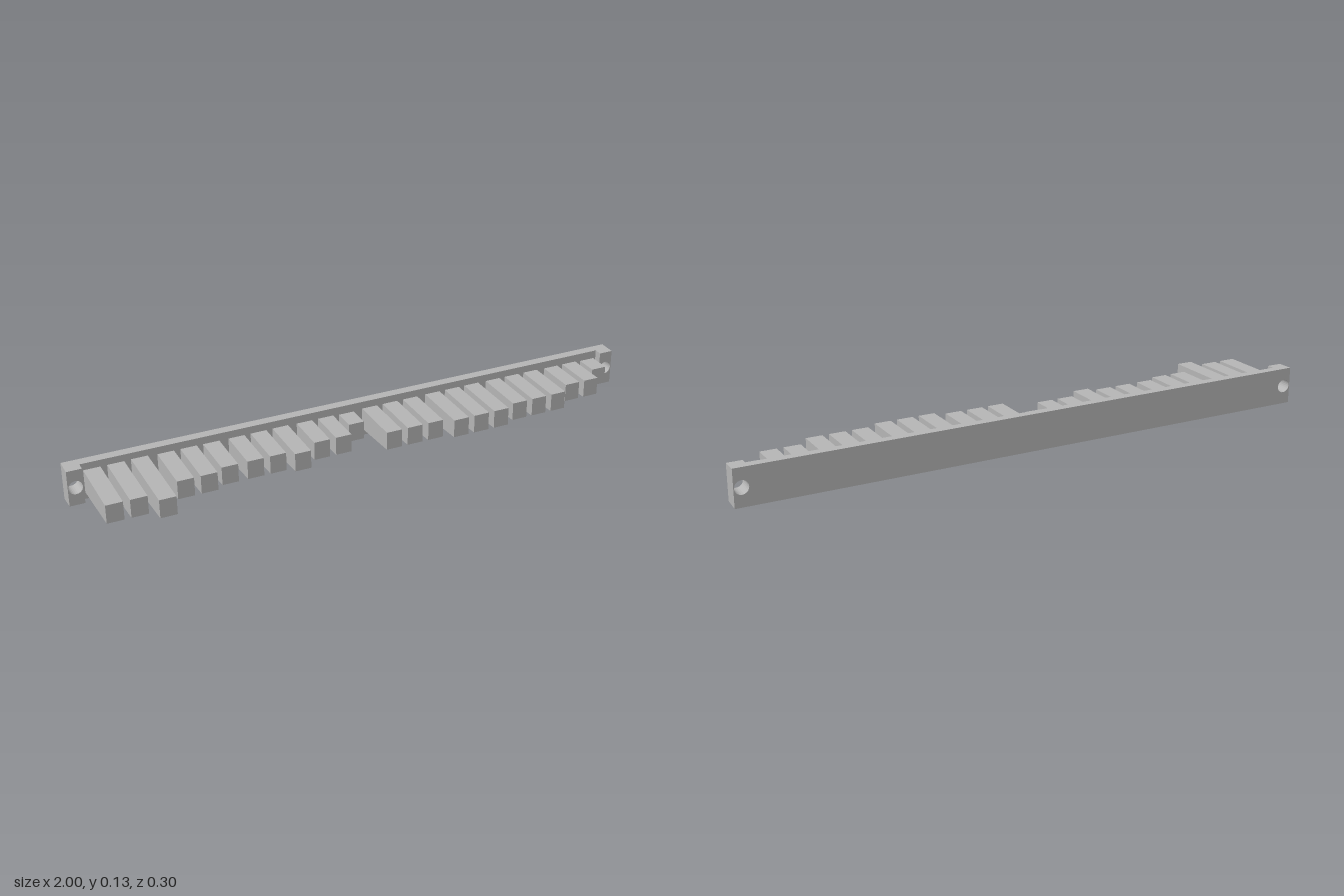
import * as THREE from 'three';

const BACK = -0.149, RAIL_FRONT = -0.117, CAP_FRONT = -0.09;
const MID_Y = 0.0635, DRAFT = 0.035, RAIL_DRAFT = 0.05;
const HALF_RAIL = 0.0635, CAP_W = 0.05;

// Box along z whose height shrinks towards the front
function taperedBox(width, zBack, zFront, halfBack, halfFront) {
  const g = new THREE.BoxGeometry(width, 2, zFront - zBack);
  g.translate(0, 0, (zBack + zFront) / 2);
  const p = g.attributes.position;
  const mid = (zBack + zFront) / 2;
  for (let i = 0; i < p.count; i++) {
    p.setY(i, MID_Y + p.getY(i) * (p.getZ(i) > mid ? halfFront : halfBack));
  }
  g.computeVertexNormals();
  return g;
}

// Mounting block with a round through hole, tapered like the rail
function capGeometry() {
  const w = CAP_W / 2, h = HALF_RAIL;
  const shape = new THREE.Shape();
  shape.moveTo(-w, -h).lineTo(w, -h).lineTo(w, h).lineTo(-w, h).closePath();
  const hole = new THREE.Path();
  hole.absarc(0, 0, 0.023, 0, Math.PI * 2, true);
  shape.holes.push(hole);
  const depth = CAP_FRONT - BACK;
  const g = new THREE.ExtrudeGeometry(shape, { depth, bevelEnabled: false, curveSegments: 12 });
  const p = g.attributes.position;
  for (let i = 0; i < p.count; i++) {
    const y = p.getY(i);
    if (Math.abs(y) > h - 0.001) p.setY(i, y - Math.sign(y) * p.getZ(i) * RAIL_DRAFT);
  }
  g.computeVertexNormals();
  g.translate(0, MID_Y, BACK);
  return g;
}

export function createModel() {
  const group = new THREE.Group();
  const grey = new THREE.MeshStandardMaterial({ color: 0xb4b4b4 });
  grey.name = 'plain grey';

  const add = (name, geometry, x = 0) => {
    const mesh = new THREE.Mesh(geometry, grey);
    mesh.name = name;
    mesh.position.x = x;
    group.add(mesh);
  };

  // Long back rail
  add('rail', taperedBox(2 - 2 * CAP_W, BACK, RAIL_FRONT, HALF_RAIL,
    HALF_RAIL - (RAIL_FRONT - BACK) * RAIL_DRAFT));

  // Drilled mounting blocks at both ends
  for (const side of [-1, 1]) {
    add(side > 0 ? 'leftEndBlock' : 'rightEndBlock', capGeometry(), side * (1 - CAP_W / 2));
  }

  // Teeth in eight groups of three; each number is a length step
  const steps = [
    [7, 7, 9], [5, 5, 4], [4, 4, 5], [3, 3, 0],
    [5, 5, 5], [6, 6, 6], [5, 5, 5], [3, 3, 0],
  ];
  const tipHalf = 0.031;
  steps.forEach((trio, i) => trio.forEach((step, j) => {
    const tip = Math.min(-0.0405 + step * 0.0212, 0.149);
    const rootHalf = tipHalf + (tip - RAIL_FRONT) * DRAFT;
    const x = -0.913 + i * 0.239 + j * 0.0765;
    add('tooth' + (i * 3 + j + 1), taperedBox(0.055, RAIL_FRONT, tip, rootHalf, tipHalf), x);
  }));

  return group;
}
